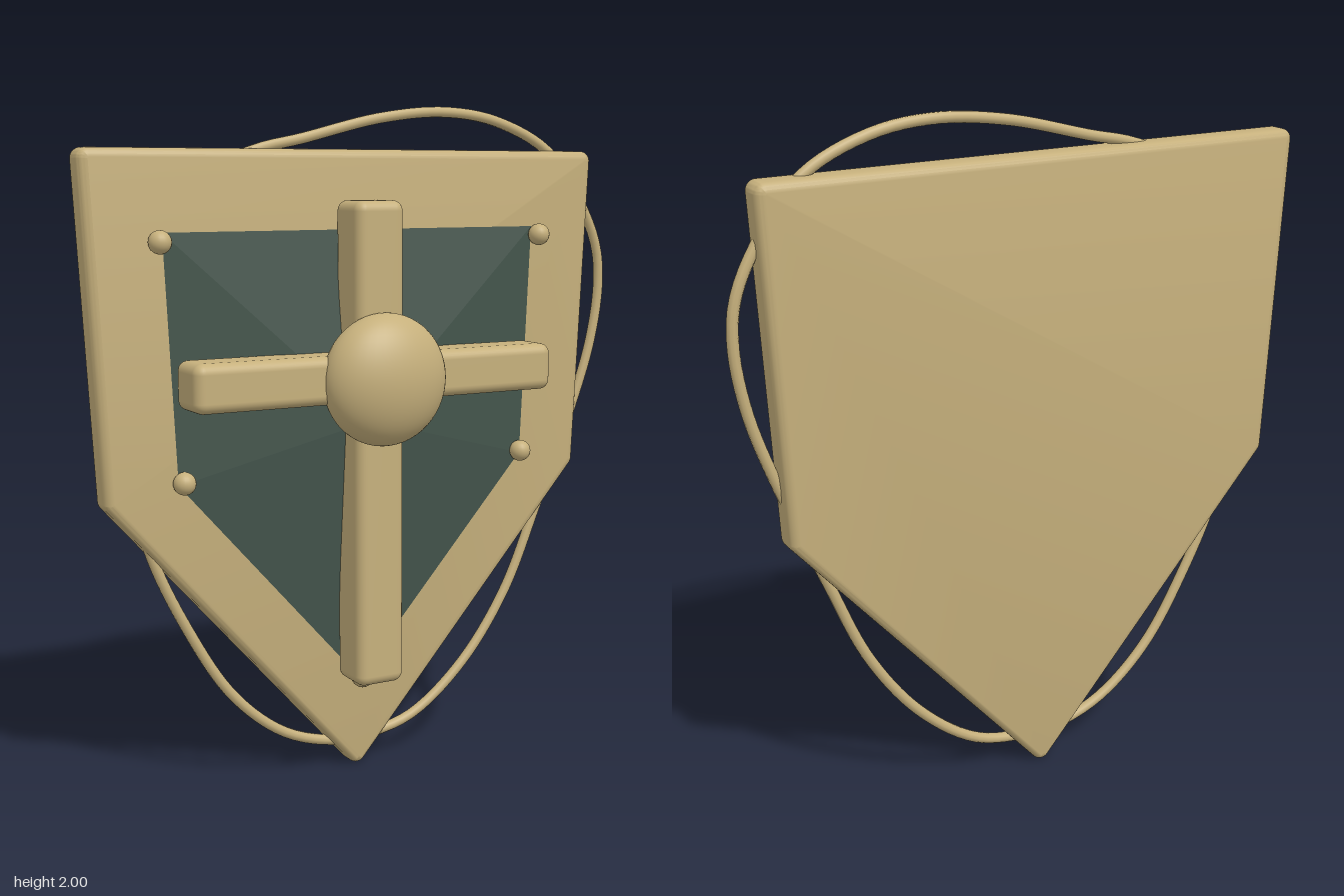
import * as THREE from 'three';
import { toCreasedNormals } from 'three/addons/utils/BufferGeometryUtils.js';
import { RoundedBoxGeometry } from 'three/addons/geometries/RoundedBoxGeometry.js';

const CX = -0.04; // the shield's own centre line

export function createModel() {
  const group = new THREE.Group();
  const brass = new THREE.MeshStandardMaterial({ color: 0xc6b07c });
  brass.name = 'brass';
  const green = new THREE.MeshStandardMaterial({ color: 0x44554c });
  green.name = 'darkGreen';

  const add = (name, geometry, material, x = 0, y = 0, z = 0) => {
    const mesh = new THREE.Mesh(geometry, material);
    mesh.name = name;
    mesh.position.set(x, y, z);
    group.add(mesh);
    return mesh;
  };

  // Back plate: five-cornered outline with rounded corners and edges
  const corners = [[0.81, 1.84], [0.762, 0.895], [0, 0.031], [-0.762, 0.895], [-0.81, 1.84]]
    .map(([x, y]) => new THREE.Vector2(x + CX, y)).reverse();
  const outline = new THREE.Shape();
  const n = corners.length;
  const normalAngle = (a, b) => Math.atan2(a.x - b.x, b.y - a.y);
  corners.forEach((c, i) => {
    const a0 = normalAngle(corners[(i + n - 1) % n], c);
    const a1 = normalAngle(c, corners[(i + 1) % n]);
    outline.absarc(c.x, c.y, 0.004, a0, a1, false);
  });
  const plate = new THREE.ExtrudeGeometry(outline, {
    depth: 0.043, bevelThickness: 0.026, bevelSize: 0.026, bevelSegments: 5, curveSegments: 5,
  });
  add('plate', toCreasedNormals(plate, 0.6), brass, 0, 0, -0.16);

  // Inset panel: a shallow five-sided pyramid
  const rim = [[-0.61, 1.64], [-0.577, 0.93], [0, 0.28], [0.577, 0.93], [0.61, 1.64]];
  const points = [];
  rim.forEach(([x, y], i) => {
    const [x2, y2] = rim[(i + 1) % rim.length];
    points.push(x + CX, y, -0.09, x2 + CX, y2, -0.09, CX, 1.084, -0.015);
  });
  const panel = new THREE.BufferGeometry();
  panel.setAttribute('position', new THREE.Float32BufferAttribute(points, 3));
  panel.computeVertexNormals();
  add('panel', panel, green);

  // Cross bars
  add('uprightBar', new RoundedBoxGeometry(0.155, 1.43, 0.15, 4, 0.03), brass, CX, 1.01, -0.018);
  add('crossBar', new RoundedBoxGeometry(1.17, 0.14, 0.155, 4, 0.03), brass, CX, 1.22, -0.005);

  // Domed boss in the middle
  const boss = add('boss', new THREE.SphereGeometry(0.193, 40, 28), brass, CX, 1.215, 0.07);
  boss.scale.z = 0.6;

  // Rivets at the panel corners
  [[-0.624, 1.615], [0.626, 1.615], [-0.567, 0.94], [0.567, 0.94], [0, 0.287]].forEach(([x, y]) =>
    add('rivet', new THREE.SphereGeometry(0.033, 20, 14), brass, x + CX, y, -0.07));

  // Cord looping in and out of the plate
  const path = [
    [-0.36, 1.863], [-0.2, 1.9], [0.06, 1.962], [0.28, 1.982], [0.47, 1.955], [0.66, 1.865],
    [0.79, 1.7], [0.85, 1.57], [0.862, 1.45], [0.835, 1.27], [0.765, 1.06], [0.635, 0.75],
    [0.51, 0.47], [0.35, 0.255], [0.165, 0.115], [0, 0.078], [-0.12, 0.08], [-0.28, 0.135],
    [-0.44, 0.27], [-0.575, 0.48], [-0.7, 0.76], [-0.76, 1.1], [-0.72, 1.5], [-0.58, 1.76],
  ].map(([x, y]) => new THREE.Vector3(x, y, -0.13));
  const curve = new THREE.CatmullRomCurve3(path, true);
  add('cord', new THREE.TubeGeometry(curve, 160, 0.016, 10, true), brass);

  return group;
}
